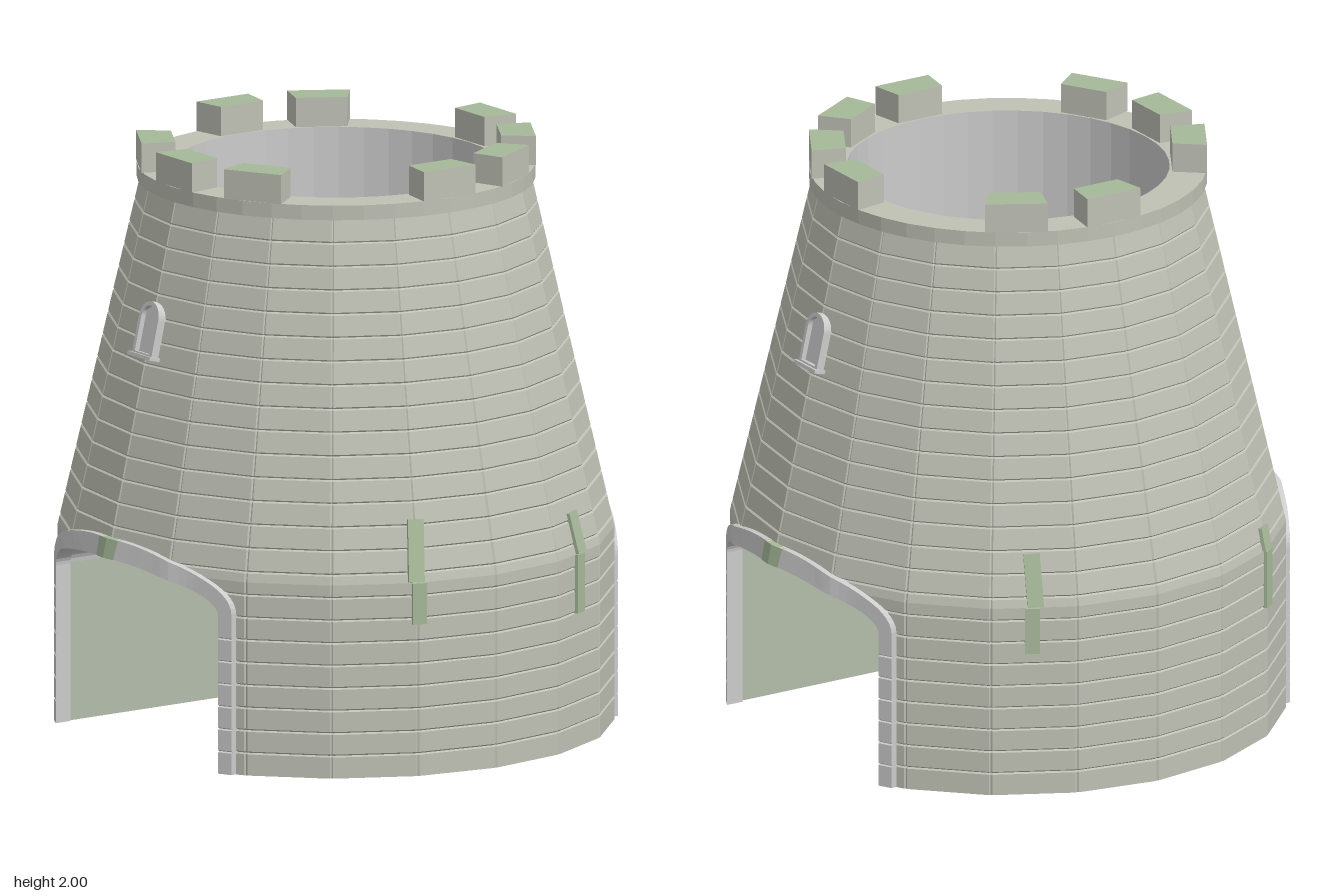
import * as THREE from 'three';

const SIDES = 20, R = 0.93, BEND = 0.66, TOP = 1.85, R_TOP = 0.655;
const COURSE = TOP / 24, HALF = 0.48, SPRING = 0.54, RISE = 0.14;
const SLOPE = Math.atan((R - R_TOP) / (TOP - BEND));

const mat = (color, extra = {}) => new THREE.MeshStandardMaterial({ color, flatShading: true, ...extra });
const stone = mat(0xbfc1b5), plain = mat(0xcccccc), moss = mat(0xa6b999), lining = mat(0xb3bdaa);

// Tower radius at a height, as a fraction of the base radius
const taper = y => y < BEND ? 1 : 1 + (R_TOP / R - 1) * (y - BEND) / (TOP - BEND);
const corner = k => {
  const t = k * 2 * Math.PI / SIDES;
  return [R * Math.sin(t), R * Math.cos(t)];
};
// Distance of the faceted wall in front of the centre plane at x
function wallZ(x) {
  x = Math.abs(x);
  let k = 0;
  while (corner(k + 1)[0] < x) k++;
  const [a, b] = [corner(k), corner(k + 1)];
  return a[1] + (b[1] - a[1]) * (x - a[0]) / (b[0] - a[0]);
}
const archY = x => SPRING + RISE * Math.sqrt(Math.max(0, 1 - (x / HALF) ** 2));

// Collects four-cornered faces into a flat-shaded mesh
function quadMesh(name, material, fill) {
  const pos = [];
  fill((a, b, c, d) => pos.push(...a, ...b, ...c, ...a, ...c, ...d));
  const g = new THREE.BufferGeometry();
  g.setAttribute('position', new THREE.Float32BufferAttribute(pos, 3));
  g.computeVertexNormals();
  const m = new THREE.Mesh(g, material);
  m.name = name;
  return m;
}
function add(parent, name, geometry, material, x = 0, y = 0, z = 0) {
  const m = new THREE.Mesh(geometry, material);
  m.name = name;
  m.position.set(x, y, z);
  parent.add(m);
  return m;
}

// Plan of the wall: every facet split up, with a shallow joint at each corner
function wallPlan() {
  const [a, b] = [corner(1), corner(2)];
  const f = (HALF - a[0]) / (b[0] - a[0]);
  const cuts = [0, 0.02, 0.16, 1 - f, 0.34, 0.42, 0.5, 0.58, 0.66, f, 0.84, 0.98].sort((p, q) => p - q);
  const plan = [];
  for (let k = 0; k < SIDES; k++) {
    const [p, q] = [corner(k), corner(k + 1)];
    for (const c of cuts) {
      const s = c === 0 ? 0.995 : 1;
      plan.push([(p[0] + (q[0] - p[0]) * c) * s, (p[1] + (q[1] - p[1]) * c) * s]);
    }
  }
  return plan;
}

function buildWall(group) {
  const plan = wallPlan();
  // Rows of stone courses with a narrow groove between them
  const rows = [[0, 1], [BEND, 1], [TOP, 1]];
  for (let i = 1; i < 24; i++) {
    const y = i * COURSE;
    rows.push([y - 0.005, 1], [y, 0.994], [y + 0.005, 1]);
  }
  rows.sort((a, b) => a[0] - b[0]);
  const at = (p, y, dip) => [p[0] * taper(y) * dip, y, p[1] * taper(y) * dip];
  const segments = plan.map((a, i) => {
    const b = plan[(i + 1) % plan.length];
    return { a, b, open: Math.abs(a[0] + b[0]) / 2 < HALF };
  });
  group.add(quadMesh('towerWall', stone, quad => {
    for (const { a, b, open } of segments) {
      const la = open ? archY(a[0]) : 0, lb = open ? archY(b[0]) : 0;
      for (let r = 0; r + 1 < rows.length; r++) {
        const [y0, d0] = rows[r], [y1, d1] = rows[r + 1];
        if (y1 <= Math.min(la, lb)) continue;
        quad(at(a, Math.max(y0, la), d0), at(b, Math.max(y0, lb), d0),
          at(b, Math.max(y1, lb), d1), at(a, Math.max(y1, la), d1));
      }
    }
  }));
  group.add(quadMesh('underside', lining, quad => {
    for (const { a, b, open } of segments) {
      if (open) continue;
      const x = Math.sign(a[0] + b[0]) * HALF;
      quad([a[0], 0, a[1]], [x, 0, a[1]], [x, 0, b[1]], [b[0], 0, b[1]]);
    }
  }));
}

// Vaulted passage running from front to back
function buildPassage(group) {
  const arc = [];
  for (let i = 0; i <= 32; i++) {
    const x = HALF * Math.cos(i * Math.PI / 32);
    arc.push([x, archY(x)]);
  }
  const strip = (name, material, profile) => group.add(quadMesh(name, material, quad => {
    for (let i = 0; i + 1 < profile.length; i++) {
      const [p, q] = [profile[i], profile[i + 1]];
      const zp = wallZ(p[0]) * taper(p[1]), zq = wallZ(q[0]) * taper(q[1]);
      quad([...p, zp], [...q, zq], [...q, -zq], [...p, -zp]);
    }
  }));
  strip('passageVault', plain, arc);
  strip('passageSideLeft', lining, [[HALF, 0], [HALF, SPRING]]);
  strip('passageSideRight', lining, [[-HALF, SPRING], [-HALF, 0]]);
}

// Arch surround that follows the curve of the wall
function surround(name, material, sections, proud) {
  const ring = ({ inner, outer, dip = 0 }) => {
    const z = ([x, y], o) => [x, y, wallZ(x) * taper(y) + o];
    const o = proud - dip;
    return [z(inner, o), z(outer, o), z(outer, -0.04), z(inner, -0.04)];
  };
  return quadMesh(name, material, quad => {
    const rings = sections.map(ring);
    for (let i = 0; i + 1 < rings.length; i++)
      for (let c = 0; c < 4; c++) {
        const d = (c + 1) % 4;
        quad(rings[i][c], rings[i][d], rings[i + 1][d], rings[i + 1][c]);
      }
  });
}
function buildGateway() {
  const g = new THREE.Group();
  const bend = a => ({
    inner: [0.47 * Math.cos(a), SPRING + 0.13 * Math.sin(a)],
    outer: [0.515 * Math.cos(a), 0.55 + 0.185 * Math.sin(a)],
  });
  const jamb = (s, y, dip) => ({ inner: [s * 0.47, y], outer: [s * 0.515, y], dip });
  const side = s => {
    const list = [jamb(s, 0)];
    for (let i = 1; i < 7; i++)
      list.push(jamb(s, i * COURSE - 0.004), jamb(s, i * COURSE, 0.006), jamb(s, i * COURSE + 0.004));
    return list;
  };
  const arc = [];
  for (let i = 0; i <= 36; i++) arc.push(bend(i * Math.PI / 36));
  g.add(surround('archSurround', plain, [...side(1), ...arc, ...side(-1).reverse()], 0.02));
  const key = [84, 88, 90, 92, 96].map(d => bend(THREE.MathUtils.degToRad(d)));
  g.add(surround('keystone', moss, key, 0.023));
  return g;
}

// Small arched window leaning with the wall
function archPath(Type, w, y0, y1) {
  const s = new Type();
  s.moveTo(-w, y0);
  s.lineTo(w, y0);
  s.lineTo(w, y1);
  s.absarc(0, y1, w, 0, Math.PI, false);
  s.lineTo(-w, y0);
  return s;
}
function buildWindow() {
  const g = new THREE.Group();
  const frame = archPath(THREE.Shape, 0.056, 0, 0.13);
  frame.holes.push(archPath(THREE.Path, 0.042, 0.012, 0.13));
  add(g, 'windowFrame', new THREE.ExtrudeGeometry(frame, { depth: 0.04, bevelEnabled: false, curveSegments: 12 }), plain, 0, 0, -0.02);
  add(g, 'windowPane', new THREE.ShapeGeometry(archPath(THREE.Shape, 0.045, 0.005, 0.13)), plain, 0, 0, 0.002);
  add(g, 'windowSill', new THREE.BoxGeometry(0.13, 0.012, 0.06), plain, 0, 0, 0.002);
  g.position.set(0, 1.335, R * taper(1.335));
  g.rotation.x = -SLOPE;
  return g;
}

// Battlement block, slightly narrower towards the inside
function merlonGeometry() {
  const g = new THREE.BoxGeometry(0.21, 0.1, 0.115);
  const p = g.attributes.position;
  for (let i = 0; i < p.count; i++) if (p.getZ(i) < 0) p.setX(i, p.getX(i) * 0.82);
  return g;
}

// Mossy strip on the outside, bent with the wall
function mossStrip(deg, y0, y1, r, lean) {
  const g = new THREE.Group();
  g.name = 'mossStrip';
  g.rotation.y = THREE.MathUtils.degToRad(deg);
  const low = BEND - y0, high = y1 - BEND;
  add(g, 'mossLower', new THREE.BoxGeometry(0.05, low, 0.02), moss, -lean * 0.1, y0 + low / 2, r);
  const up = add(g, 'mossUpper', new THREE.BoxGeometry(0.055, high, 0.02), moss,
    0, BEND + high / 2, r - Math.tan(SLOPE) * high / 2);
  up.rotation.set(-SLOPE, 0, lean);
  return g;
}

export function createModel() {
  const tower = new THREE.Group();
  tower.name = 'tower';
  buildWall(tower);
  buildPassage(tower);

  // Gateway and window on both the front and the back
  for (const [name, turn] of [['front', 0], ['back', Math.PI]]) {
    const face = new THREE.Group();
    face.name = name + 'Openings';
    face.rotation.y = turn;
    face.add(buildGateway(), buildWindow());
    tower.add(face);
  }

  // Rim, hollow top and its floor
  const v = list => list.map(p => new THREE.Vector2(...p));
  add(tower, 'rim', new THREE.LatheGeometry(v([[0.54, 1.85], [0.665, 1.85], [0.665, 1.9], [0.54, 1.9]]), 40), stone);
  add(tower, 'innerWall', new THREE.LatheGeometry(v([[0.54, 1.9], [0.54, 0.72]]), 40), plain);
  add(tower, 'innerFloor', new THREE.CircleGeometry(0.545, 40), plain, 0, 0.72, 0).rotation.x = -Math.PI / 2;

  // Battlements on a twelve-part ring with three missing, each with a mossy top
  const block = merlonGeometry();
  const topMats = [stone, stone, moss, stone, stone, stone];
  for (let i = 0; i < 12; i++) {
    if ([2, 7, 10].includes(i)) continue;
    const t = i * Math.PI / 6;
    const m = add(tower, 'merlon', block, topMats, 0.603 * Math.sin(t), 1.95, 0.603 * Math.cos(t));
    m.rotation.y = t;
  }

  tower.add(
    mossStrip(72, 0.52, 0.87, 0.928, -0.05),
    mossStrip(117, 0.46, 0.8, 0.92, 0.06),
    mossStrip(-54, 0.46, 0.74, 0.928, -0.05),
    mossStrip(-117, 0.5, 0.84, 0.92, 0.06),
  );
  return tower;
}
